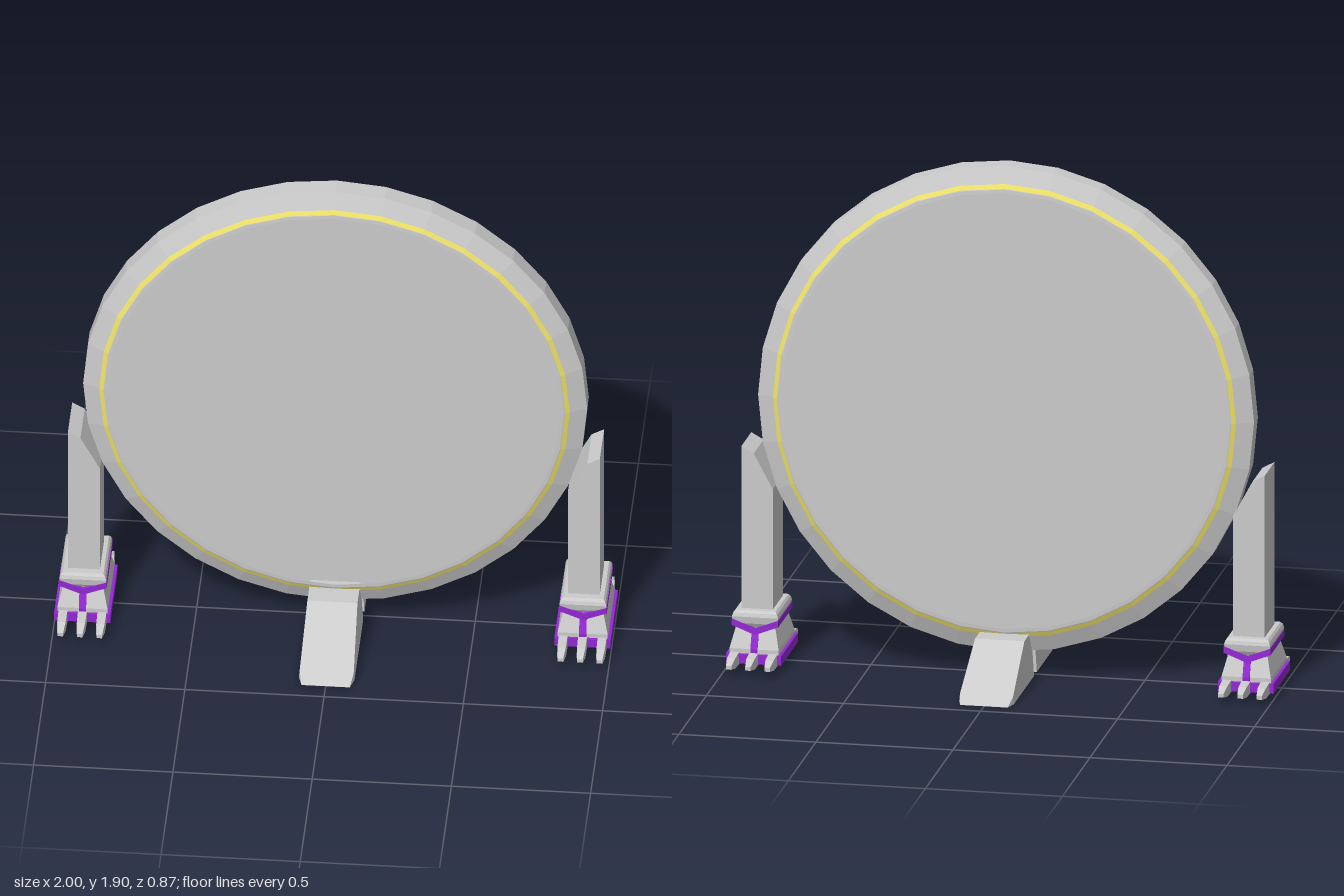
import * as THREE from 'three';

const grey = new THREE.MeshStandardMaterial({ color: 0xcccccc, flatShading: true });
const purple = new THREE.MeshStandardMaterial({ color: 0x9428d4, flatShading: true });
const yellow = new THREE.MeshStandardMaterial({ color: 0xf0e468, flatShading: true });

function add(parent, name, geometry, material = grey) {
  const mesh = new THREE.Mesh(geometry, material);
  mesh.name = name;
  parent.add(mesh);
  return mesh;
}

// Loft along z through trapezoids: [z, half width low, half width high, y low, y high]
function loft(sections) {
  const pos = [], index = [];
  sections.forEach(([z, lo, hi, y0, y1], s) => {
    pos.push(-lo, y0, z, lo, y0, z, hi, y1, z, -hi, y1, z);
    if (s === 0) return;
    for (let i = 0; i < 4; i++) {
      const j = (i + 1) % 4, a = (s - 1) * 4, b = s * 4;
      index.push(a + i, a + j, b + j, a + i, b + j, b + i);
    }
  });
  const e = (sections.length - 1) * 4;
  index.push(0, 2, 1, 0, 3, 2, e, e + 1, e + 2, e, e + 2, e + 3);
  const g = new THREE.BufferGeometry();
  g.setAttribute('position', new THREE.Float32BufferAttribute(pos, 3));
  g.setIndex(index);
  g.computeVertexNormals();
  return g;
}

// Upright stack of rectangles: [y, half x, half z]
const stack = (rows) =>
  loft(rows.map(([y, hx, hz]) => [y, hx, hx, -hz, hz])).rotateX(-Math.PI / 2);

// Extrude an outline in the xy plane, centred on z
function plate(points, depth) {
  const shape = new THREE.Shape(points.map(([x, y]) => new THREE.Vector2(x, y)));
  return new THREE.ExtrudeGeometry(shape, { depth, bevelEnabled: false }).translate(0, 0, -depth / 2);
}

// Profile [radius, z] turned about the z axis
const turned = (points) =>
  new THREE.LatheGeometry(points.map(([r, z]) => new THREE.Vector2(r, z)), 32).rotateX(Math.PI / 2);

function createGate() {
  const gate = new THREE.Group();
  gate.name = 'gate';
  gate.position.y = 0.995;
  // hollow rim whose lips overhang the disc
  add(gate, 'rim', turned([
    [0.812, -0.071], [0.826, -0.07], [0.905, -0.035],
    [0.905, 0.035], [0.826, 0.07], [0.812, 0.071],
  ]));
  add(gate, 'centreDisc', new THREE.CylinderGeometry(0.89, 0.89, 0.04, 32).rotateX(Math.PI / 2));
  // glowing line on each face
  for (const side of [1, -1]) {
    const line = add(gate, 'lightLine', turned([[0.845, 0.063], [0.829, 0.0705]]), yellow);
    if (side < 0) line.rotation.y = Math.PI;
  }
  return gate;
}

function createFoot() {
  const foot = new THREE.Group();
  foot.name = 'foot';
  add(foot, 'sole', new THREE.BoxGeometry(0.202, 0.035, 0.308).translate(0, 0.0405, 0), purple);
  add(foot, 'ankle', stack([
    [0.055, 0.09, 0.143], [0.075, 0.09, 0.143], [0.145, 0.073, 0.115], [0.16, 0.073, 0.115],
  ]));
  add(foot, 'collar', stack([
    [0.15, 0.073, 0.115], [0.165, 0.081, 0.124], [0.19, 0.084, 0.128], [0.203, 0.08, 0.124], [0.212, 0.073, 0.116],
  ]));
  // coloured collar band, dipping to a point at front and back
  add(foot, 'collarBand', plate([
    [-0.085, 0.157], [-0.07, 0.152], [0, 0.124], [0.07, 0.152], [0.085, 0.157],
    [0.085, 0.182], [0.07, 0.176], [0, 0.148], [-0.07, 0.176], [-0.085, 0.182],
  ], 0.256), purple);
  add(foot, 'footStripe', stack([
    [0.058, 0.013, 0.146], [0.075, 0.013, 0.146], [0.14, 0.013, 0.12],
  ]), purple);
  // three toes at each end, level with the underside of the sole
  for (const x of [-0.07, 0, 0.07]) {
    add(foot, 'toe', loft([
      [-0.255, 0.01, 0.01, 0.028, 0.042], [-0.21, 0.016, 0.015, 0.02, 0.058],
      [-0.15, 0.017, 0.016, 0.02, 0.062], [0.15, 0.017, 0.016, 0.02, 0.062],
      [0.21, 0.016, 0.015, 0.02, 0.058], [0.255, 0.01, 0.01, 0.028, 0.042],
    ])).position.x = x;
  }
  return foot;
}

function createSupport(side) {
  const support = new THREE.Group();
  support.name = side > 0 ? 'leftSupport' : 'rightSupport';
  const foot = createFoot();
  foot.position.x = 0.898;
  support.add(foot);
  // post cut on a slope where it meets the ring
  add(support, 'post', plate([
    [0.84, 0.2], [0.955, 0.2], [0.955, 0.815], [0.91, 0.79], [0.84, 0.66],
  ], 0.18));
  if (side < 0) support.rotation.y = Math.PI;
  return support;
}

function createRamp(side) {
  const ramp = add(new THREE.Group(), side > 0 ? 'frontRamp' : 'backRamp', loft([
    [0.025, 0.1, 0.09, 0, 0.165], [0.15, 0.1, 0.09, 0, 0.165],
    [0.39, 0.1, 0.097, 0, 0.028], [0.437, 0.087, 0.087, 0, 0.001],
  ]));
  if (side < 0) ramp.rotation.y = Math.PI;
  return ramp;
}

export function createModel() {
  const model = new THREE.Group();
  model.name = 'ringGate';
  model.add(createGate());
  for (const side of [1, -1]) model.add(createSupport(side), createRamp(side));
  return model;
}
